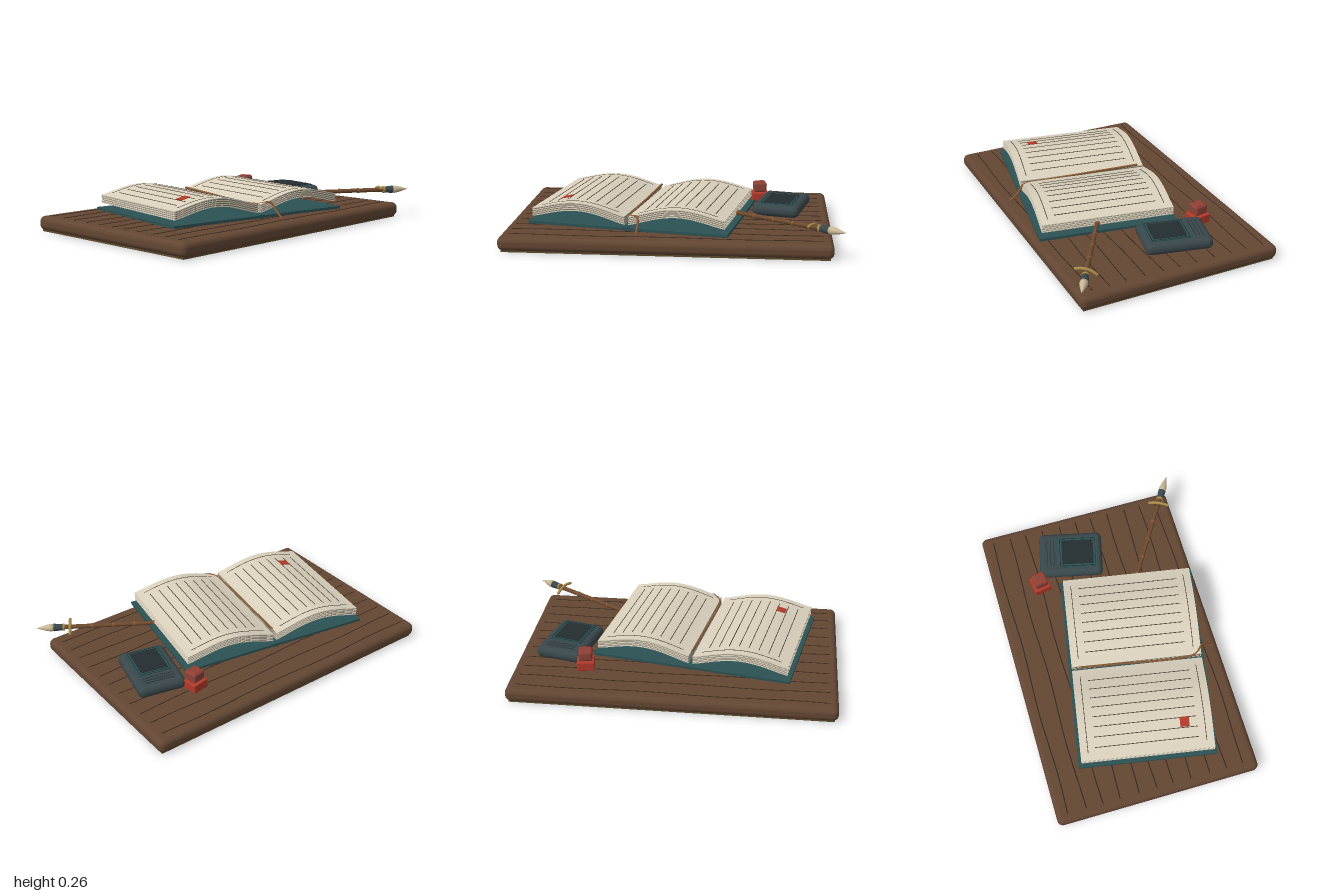
import * as THREE from 'three';
import { toCreasedNormals } from 'three/addons/utils/BufferGeometryUtils.js';
import { RoundedBoxGeometry } from 'three/addons/geometries/RoundedBoxGeometry.js';

const mat = (color) => new THREE.MeshStandardMaterial({ color, side: THREE.DoubleSide });
const WOOD = mat(0x634633), GRAIN = mat(0x3a281e), BASE = mat(0x5c4a2c), TEAL = mat(0x2c5254),
  PAPER = mat(0xd9d0bc), EDGE = mat(0x7d7565), INK = mat(0x4a4236), RED = mat(0xb23a2a),
  DULLRED = mat(0x8c4238), STONE = mat(0x39474b), DARK = mat(0x232d30), BAMBOO = mat(0x6e4a2f),
  BRASS = mat(0xa88a4a), RIBBON = mat(0x8a5a36), HAIR = mat(0xc9b797);

function add(parent, name, geometry, material, x = 0, y = 0, z = 0) {
  const mesh = new THREE.Mesh(geometry, material);
  mesh.name = name;
  mesh.position.set(x, y, z);
  parent.add(mesh);
  return mesh;
}

function group(parent, name, x, z, turn) {
  const g = new THREE.Group();
  g.name = name;
  g.position.set(x, 0, z);
  g.rotation.y = turn;
  parent.add(g);
  return g;
}

const box = (w, h, d) => new THREE.BoxGeometry(w, h, d);
const curve = (points) => new THREE.CatmullRomCurve3(points.map((p) => new THREE.Vector3(...p)));

// Four thin bars forming a rectangular outline
function outline(parent, name, w, d, t, material, y, z = 0) {
  for (const s of [-1, 1]) {
    add(parent, name, box(w, 0.004, t), material, 0, y, z + s * d / 2);
    add(parent, name, box(t, 0.004, d), material, s * w / 2, y, z);
  }
}

// Height of the open page above the ground, u = 0 at the gutter and 1 at the outer edge
const pageY = (u) => 0.198 + 0.014 * u + 0.055 * Math.sin(Math.PI * Math.min(1, u)) ** 1.2;
const GUTTER = 0.012, PAGE_W = 0.573;

// Arched sheet following the page curve
function sheet(side, drop, thick, depth, u0 = 0, u1 = 1) {
  const top = [], bottom = [];
  for (let i = 0; i <= 20; i++) {
    const u = u0 + (u1 - u0) * i / 20;
    const x = side * (GUTTER + PAGE_W * u);
    top.push(new THREE.Vector2(x, pageY(u) - drop));
    bottom.unshift(new THREE.Vector2(x, pageY(u) - drop - thick));
  }
  const g = new THREE.ExtrudeGeometry(new THREE.Shape([...top, ...bottom]), { depth, bevelEnabled: false });
  g.translate(0, 0, -depth / 2);
  return toCreasedNormals(g, 0.6);
}

function buildBoard(root) {
  add(root, 'board', new RoundedBoxGeometry(1.94, 0.085, 1.255, 4, 0.034), WOOD, -0.03, 0.05, -0.0125);
  add(root, 'boardUnderside', box(1.9, 0.012, 1.215), BASE, -0.03, 0.006, -0.0125);
  for (let i = 0; i < 11; i++) {
    const points = [];
    for (let k = 0; k <= 12; k++) {
      points.push([-0.95 + k * 0.153, 0.0925, -0.57 + i * 0.11 + 0.006 * Math.sin(k * 1.1 + i * 1.7)]);
    }
    add(root, 'woodGrain', new THREE.TubeGeometry(curve(points), 48, 0.003, 4), GRAIN);
  }
}

function buildBook(root) {
  const book = group(root, 'book', -0.19, 0.083, -0.172);
  add(book, 'cover', box(1.21, 0.016, 0.84), TEAL, 0, 0.128, 0);
  add(book, 'spine', box(0.03, 0.022, 0.84), TEAL, 0, 0.128, 0);

  for (const side of [-1, 1]) {
    // Stack of sheets, alternate ones recessed to show the edges
    for (let i = 0; i < 9; i++) {
      const dark = i % 2 === 1;
      add(book, 'pages', sheet(side, i * 0.0055, 0.0055, dark ? 0.794 : 0.802, 0, dark ? 0.993 : 1), dark ? EDGE : PAPER);
    }
    // Ruled columns and border lines
    for (let i = 0; i < 8; i++) {
      const u = 0.14 + i * 0.105;
      add(book, 'columnRule', box(0.004, 0.003, 0.62), INK,
        side * (GUTTER + PAGE_W * u), pageY(u) + 0.0005, 0);
    }
    for (const s of [-1, 1]) {
      add(book, 'borderRule', sheet(side, -0.0015, 0.002, 0.004, 0.08, 0.92), INK).position.z = s * 0.355;
    }
  }
  // Plain red stamp on the left-hand page
  const stamp = add(book, 'pageStamp', box(0.06, 0.004, 0.055), RED, -0.42, 0.252, 0.235);
  stamp.rotation.z = 0.22;

  // Ribbon lying in the gutter and hanging over the front edge
  const path = curve([[0, 0.212, -0.36], [0, 0.203, -0.1], [0, 0.19, 0.25], [0.02, 0.195, 0.37],
    [0.07, 0.206, 0.41], [0.08, 0.17, 0.435], [0.085, 0.125, 0.49]]);
  add(book, 'ribbon', new THREE.TubeGeometry(path, 40, 0.007, 6), RIBBON);
}

function buildInkstone(root) {
  const stone = group(root, 'inkstone', 0.645, -0.11, -0.225);
  add(stone, 'stoneBody', new RoundedBoxGeometry(0.29, 0.074, 0.4, 4, 0.034), STONE, 0, 0.142, 0);
  add(stone, 'wellRim', box(0.205, 0.008, 0.245), TEAL, 0, 0.181, 0.045);
  add(stone, 'inkWell', box(0.165, 0.008, 0.2), DARK, 0, 0.184, 0.045);
  outline(stone, 'wellBorder', 0.19, 0.225, 0.004, DARK, 0.185, 0.045);
  for (let i = 0; i < 3; i++) {
    add(stone, 'carvedLine', box(0.18, 0.003, 0.003), DARK, 0, 0.1795, -0.15 + i * 0.022);
  }
}

function buildSeal(root) {
  const seal = group(root, 'seal', 0.505, -0.35, 0.16);
  add(seal, 'sealBase', new RoundedBoxGeometry(0.105, 0.056, 0.105, 2, 0.006), RED, 0, 0.135, 0);
  add(seal, 'sealHandle', new RoundedBoxGeometry(0.082, 0.06, 0.082, 3, 0.012), DULLRED, 0, 0.195, 0);
  outline(seal, 'sealBorder', 0.058, 0.058, 0.004, RED, 0.2255);
}

function buildBrush(root) {
  // Built along local x, from the handle end to the tip
  const brush = group(root, 'brush', 0.38, 0.255, -0.557);
  brush.position.y = 0.178;
  const rod = (name, x, length, r0, r1, material) => {
    const g = new THREE.CylinderGeometry(r1, r0, length, 16);
    g.rotateZ(-Math.PI / 2);
    return add(brush, name, g, material, x + length / 2);
  };
  rod('handle', 0, 0.57, 0.012, 0.014, BAMBOO);
  for (const x of [0, 0.12, 0.25, 0.38]) rod('bambooNode', x, 0.01, 0.016, 0.016, RIBBON);
  rod('ferrule', 0.555, 0.065, 0.019, 0.024, STONE);
  rod('ferruleBand', 0.553, 0.012, 0.022, 0.022, BRASS);

  const tip = new THREE.LatheGeometry([[0.0, 0], [0.022, 0], [0.024, 0.02], [0.018, 0.05], [0.008, 0.085], [0, 0.112]]
    .map(([r, y]) => new THREE.Vector2(r, y)), 16);
  tip.rotateZ(-Math.PI / 2);
  add(brush, 'bristles', tip, HAIR, 0.617);

  // Brass crosspiece with a raised middle
  const bar = curve([[0.52, -0.014, -0.058], [0.52, 0.005, -0.03], [0.52, 0.017, 0], [0.52, 0.02, 0.03], [0.52, 0.016, 0.06]]);
  add(brush, 'crosspiece', new THREE.TubeGeometry(bar, 16, 0.009, 8), BRASS);
  for (const p of [bar.getPoint(0), bar.getPoint(1)]) {
    add(brush, 'crosspieceEnd', new THREE.SphereGeometry(0.009, 10, 8), BRASS, p.x, p.y, p.z);
  }
}

export function createModel() {
  const root = new THREE.Group();
  root.name = 'writingDesk';
  buildBoard(root);
  buildBook(root);
  buildInkstone(root);
  buildSeal(root);
  buildBrush(root);
  return root;
}
